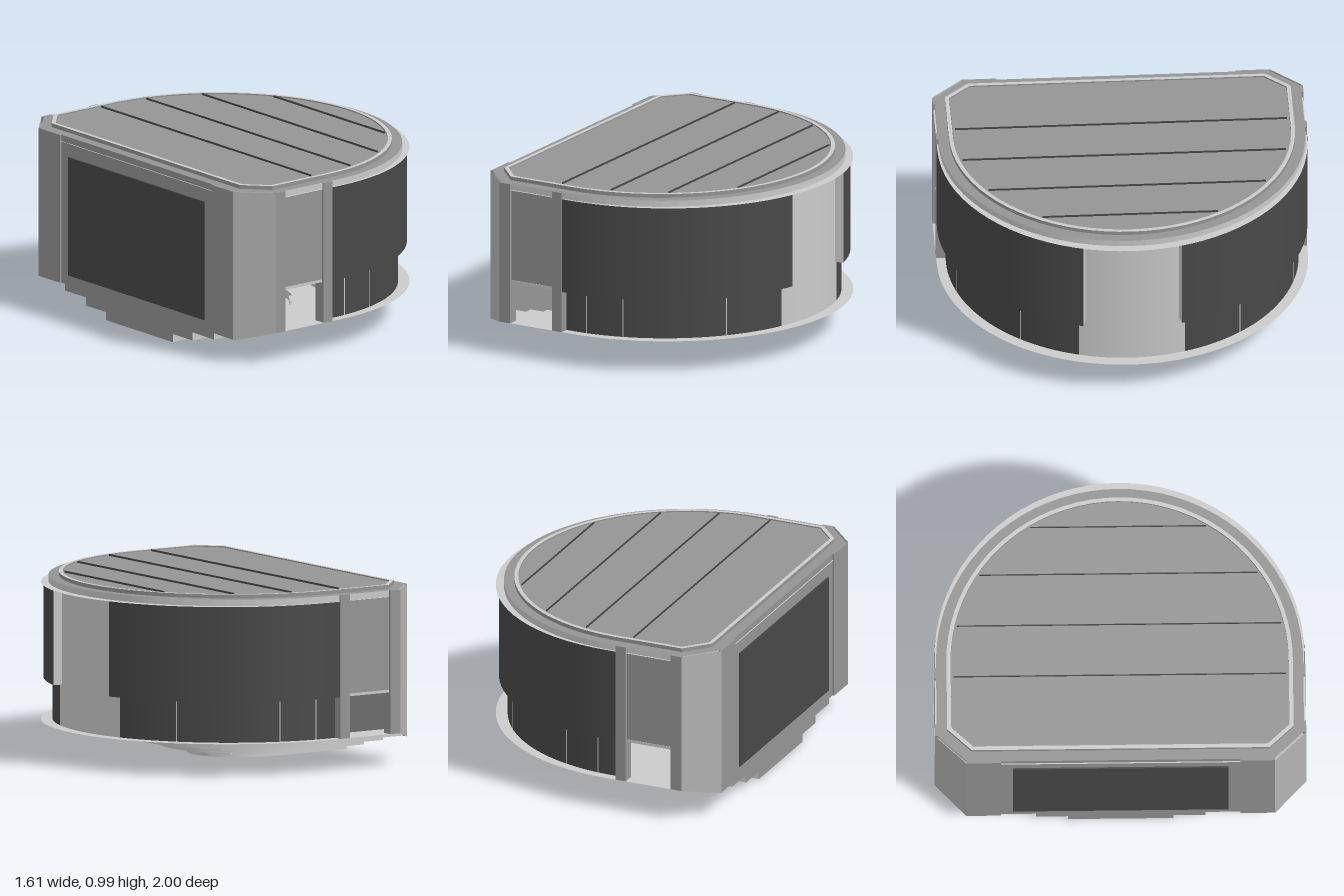
import * as THREE from 'three';

const mat = (name, color, double = true) => {
  const m = new THREE.MeshStandardMaterial({ color, side: double ? THREE.DoubleSide : THREE.FrontSide });
  m.name = name;
  return m;
};

export function createModel() {
  const light = mat('light concrete', 0xcacaca);
  const pale = mat('pale corner grey', 0xb4b4b4);
  const mid = mat('mid grey', 0x949494);
  const dark = mat('dark cladding', 0x484848);
  const group = new THREE.Group();
  group.name = 'auditorium';
  const CX = -0.216;

  const add = (name, geo, material) => {
    const m = new THREE.Mesh(geo, material);
    m.name = name;
    group.add(m);
    return m;
  };
  const box = (name, material, x0, x1, y0, y1, z0, z1) => {
    const m = add(name, new THREE.BoxGeometry(x1 - x0, y1 - y0, Math.abs(z1 - z0)), material);
    m.position.set((x0 + x1) / 2, (y0 + y1) / 2, (z0 + z1) / 2);
    return m;
  };
  // Convex polygon from 3D corners
  const poly = (name, material, pts) => {
    const pos = [];
    for (let i = 1; i < pts.length - 1; i++) pos.push(...pts[0], ...pts[i], ...pts[i + 1]);
    const g = new THREE.BufferGeometry();
    g.setAttribute('position', new THREE.Float32BufferAttribute(pos, 3));
    g.computeVertexNormals();
    return add(name, g, material);
  };
  // Open cylinder wall; angle 0 is +z and PI / 2 is +x
  const arcWall = (name, material, r, y0, y1, a0, a1) => {
    const m = add(name, new THREE.CylinderGeometry(r, r, y1 - y0, 28, 1, true, a0, a1 - a0), material);
    m.position.set(CX, (y0 + y1) / 2, 0);
    return m;
  };
  // D outline with two cut corners, inset by i
  const dPoints = (i, c, half = 40) => {
    const p = [[-0.81 + i, 0.83 - 0.42 * i], [-0.65 + 0.42 * i, 1 - i]];
    for (let k = 0; k <= half; k++) {
      const a = (k / half) * Math.PI;
      p.push([c + (1 - i) * Math.sin(a), (1 - i) * Math.cos(a)]);
    }
    p.push([-0.65 + 0.42 * i, i - 1], [-0.81 + i, 0.42 * i - 0.83]);
    return p;
  };
  const toShape = (p) => new THREE.Shape(p.map(([x, z]) => new THREE.Vector2(x, -z)));
  const plate = (name, material, shape, y) => {
    const m = add(name, new THREE.ShapeGeometry(shape).rotateX(-Math.PI / 2), material);
    m.position.y = y;
    return m;
  };
  const slab = (name, materials, shape, y0, y1) => {
    const g = new THREE.ExtrudeGeometry(shape, { depth: y1 - y0, bevelEnabled: false });
    const m = add(name, g.rotateX(-Math.PI / 2), materials);
    m.position.y = y0;
    return m;
  };

  // Seating bowl: elliptical risers and U-shaped treads stepping down to the stage
  const tiers = [[0.82, 0.82], [0.67, 0.635], [0.51, 0.455], [0.36, 0.285]];
  const levels = [0.18, 0.135, 0.09, 0.045, 0];
  const TX = -0.35, BX = -0.785;
  const uPoints = ([a, b]) => {
    const p = [[BX, b]];
    for (let k = 0; k <= 32; k++) {
      const t = (k / 32) * Math.PI;
      p.push([TX + a * Math.sin(t), b * Math.cos(t)]);
    }
    p.push([BX, -b]);
    return p;
  };
  let outer = dPoints(0, -0.2);
  outer = outer.slice(1, -1);
  tiers.forEach((tier, k) => {
    const inner = uPoints(tier);
    plate('seatingTread', light, toShape([...outer, ...[...inner].reverse()]), levels[k]);
    const pos = [], idx = [];
    inner.forEach(([x, z], i) => {
      pos.push(x, levels[k], z, x, levels[k + 1], z);
      if (i) idx.push(2 * i - 2, 2 * i - 1, 2 * i, 2 * i, 2 * i - 1, 2 * i + 1);
    });
    const g = new THREE.BufferGeometry();
    g.setAttribute('position', new THREE.Float32BufferAttribute(pos, 3));
    g.setIndex(idx);
    g.computeVertexNormals();
    add('seatingRiser', g, light);
    // Stepped lower edge of the flat side
    poly('flatSideStep', mid, [[BX, levels[k], tier[1]], [BX, levels[k], -tier[1]],
      [BX, levels[k + 1], -tier[1]], [BX, levels[k + 1], tier[1]]]);
    outer = inner;
    // Aisle steps bridging each riser
    if (k > 0) {
      const y1 = levels[k], y0 = y1 - 0.023;
      for (const s of [1, -1]) {
        box('sideAisleStep', light, -0.55, -0.35, y0, y1, s * (tier[1] - 0.02), s * (tier[1] + 0.035));
        const t = 0.95;
        const d = box('diagonalAisleStep', light, -0.06, 0.06, y0, y1, -0.03, 0.03);
        d.position.x = TX + (tier[0] + 0.01) * Math.sin(t);
        d.position.z = s * (tier[1] + 0.01) * Math.cos(t);
        d.rotation.y = s > 0 ? t : Math.PI - t;
      }
    }
  });
  plate('stageFloor', light, toShape(uPoints(tiers[3])), 0);

  // Curved cladding, mirrored front to back
  for (const s of [1, -1]) {
    const span = (a0, a1) => (s > 0 ? [a0, a1] : [Math.PI - a1, Math.PI - a0]);
    arcWall('upperDrum', dark, 0.998, 0.405, 0.925, ...span(-0.044, 1.302));
    arcWall('lowerDrum', dark, 0.95, 0.18, 0.405, ...span(-0.046, 1.266));
    // Soffit between the two drums
    const ring = new THREE.RingGeometry(0.95, 0.998, 28, 1, Math.PI / 2 - 1.302, 1.346);
    const soffit = add('drumSoffit', ring.rotateX(s * Math.PI / 2), dark);
    soffit.position.set(CX, 0.405, 0);
    // End face of the upper drum
    const e = (r) => [CX + r * Math.sin(1.302), s * r * Math.cos(1.302)];
    const [p, q] = [e(0.94), e(0.998)];
    poly('drumEnd', light, [[p[0], 0.405, p[1]], [q[0], 0.405, q[1]], [q[0], 0.925, q[1]], [p[0], 0.925, p[1]]]);
    // Thin joints in the lower drum
    for (const a of [0.086, 0.306, 0.9]) arcWall('claddingJoint', light, 0.952, 0.18, 0.405, ...span(a - 0.003, a + 0.003));

    // Entrance bay
    box('bayPanel', mid, -0.595, -0.315, 0.42, 0.96, s * 0.95, s * 0.985);
    box('doorLintel', light, -0.585, -0.32, 0.405, 0.42, s * 0.95, s * 0.987);
    box('outerPillar', mid, -0.65, -0.585, 0.18, 0.96, s * 0.94, s);
    box('innerPillar', mid, -0.32, -0.26, 0.18, 0.96, s * 0.93, s);

    // Cut corner with its sloping foot
    poly('cornerWall', pale, [[-0.81, 0.13, s * 0.83], [-0.65, 0.18, s], [-0.65, 0.96, s], [-0.81, 0.96, s * 0.83]]);
    poly('cornerFoot', light, [[-0.81, 0.13, s * 0.83], [-0.65, 0.18, s], [BX, 0.18, s * 0.82], [BX, 0.135, s * 0.82]]);
    box('flatSidePier', mid, -0.81, -0.785, 0.135, 0.96, s * 0.645, s * 0.83);
  }
  arcWall('roundEndWall', light, 0.95, 0.18, 0.925, 1.266, Math.PI - 1.266);

  // Flat side and its dark panel
  box('flatWall', mid, -0.8, -0.785, 0.135, 0.96, -0.82, 0.82);
  box('flatWallPanel', dark, -0.808, -0.799, 0.19, 0.85, -0.58, 0.58);

  // Roof: eaves plate, slab, light kerb, field and ribs
  plate('eavesPlate', light, toShape(dPoints(0.004, -0.196)), 0.925);
  slab('roofSlab', [mid, light], toShape(dPoints(0.012, -0.235)), 0.926, 0.96);
  const kerb = toShape(dPoints(0.068, -0.235));
  kerb.holes.push(new THREE.Path(dPoints(0.09, -0.235).map(([x, z]) => new THREE.Vector2(x, -z))));
  slab('roofKerb', [light, mid], kerb, 0.96, 0.981);
  slab('roofField', [mid, mid], toShape(dPoints(0.092, -0.235)), 0.96, 0.975);
  for (const x of [-0.32, -0.03, 0.26, 0.53]) {
    const w = Math.sqrt(0.905 ** 2 - Math.max(0, x + 0.235) ** 2) - 0.01;
    box('roofRib', dark, x - 0.002, x + 0.002, 0.974, 0.985, -w, w);
  }
  return group;
}
